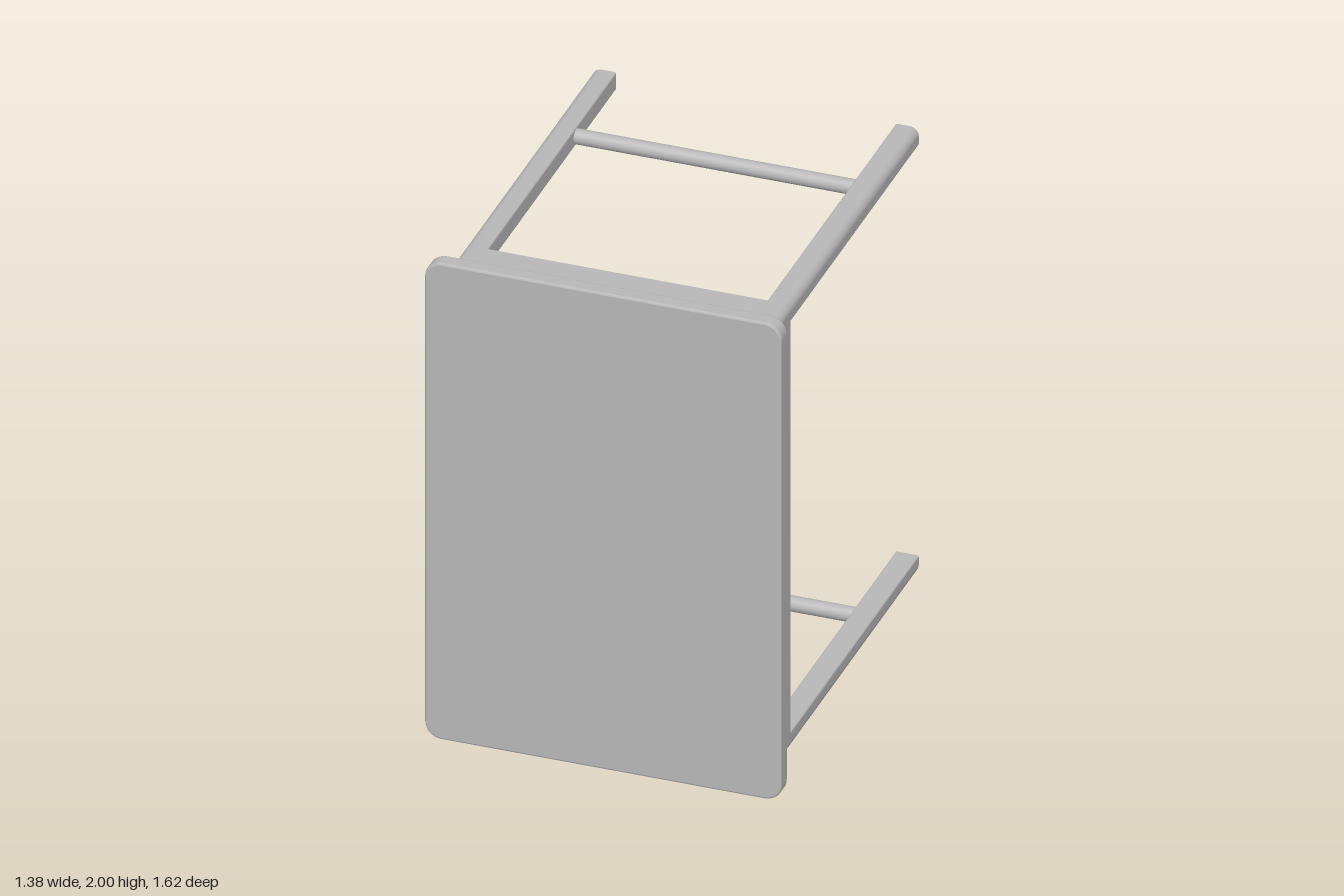
import * as THREE from 'three';

const grey = new THREE.MeshStandardMaterial({ color: 0xb8b8b8 });
grey.name = 'plain grey';

// Rectangle from (x0, y0) to (x1, y1); radii run lower left, lower right, upper right, upper left
function roundedRect(x0, y0, x1, y1, [ll, lr, ur, ul]) {
  const s = new THREE.Shape();
  s.moveTo(x0 + ll, y0);
  s.lineTo(x1 - lr, y0);
  if (lr) s.absarc(x1 - lr, y0 + lr, lr, -Math.PI / 2, 0);
  s.lineTo(x1, y1 - ur);
  if (ur) s.absarc(x1 - ur, y1 - ur, ur, 0, Math.PI / 2);
  s.lineTo(x0 + ul, y1);
  if (ul) s.absarc(x0 + ul, y1 - ul, ul, Math.PI / 2, Math.PI);
  s.lineTo(x0, y0 + ll);
  if (ll) s.absarc(x0 + ll, y0 + ll, ll, Math.PI, Math.PI * 1.5);
  return s;
}

function extrudeZ(name, shape, z0, z1, bevel = 0) {
  const geometry = new THREE.ExtrudeGeometry(shape, {
    depth: z1 - z0 - 2 * bevel,
    bevelEnabled: bevel > 0,
    bevelSize: bevel,
    bevelThickness: bevel,
    bevelOffset: -bevel,
    bevelSegments: 2,
    curveSegments: 6,
  });
  geometry.translate(0, 0, z0 + bevel);
  const mesh = new THREE.Mesh(geometry, grey);
  mesh.name = name;
  return mesh;
}

export function createModel() {
  const table = new THREE.Group();
  table.name = 'tableOnItsSide';

  // Table top, standing on its long edge
  const r = 0.065;
  table.add(extrudeZ('tableTop', roundedRect(-0.69, 0, 0.69, 2, [r, r, r, r]), 0.745, 0.81, 0.008));

  // Apron block beneath the top
  const a = 0.035;
  table.add(extrudeZ('apron', roundedRect(-0.63, 0.065, 0.63, 1.937, [a, a, a, a]), 0.55, 0.747));

  // Legs, rounded on the corner that faces outwards
  for (const upper of [false, true]) {
    const [y0, y1] = upper ? [1.862, 1.937] : [0.065, 0.14];
    for (const side of [-1, 1]) {
      const x0 = side < 0 ? -0.63 : 0.54;
      const outer = upper ? (side < 0 ? 3 : 2) : (side < 0 ? 0 : 1);
      const radii = [0.008, 0.008, 0.008, 0.008];
      radii[outer] = a;
      const leg = extrudeZ('leg', roundedRect(x0, y0, x0 + 0.09, y1, radii), -0.81, 0.56);
      table.add(leg);
    }

    // Round stretcher joining each pair of legs
    const stretcher = new THREE.Mesh(new THREE.CylinderGeometry(0.03, 0.03, 1.1, 16), grey);
    stretcher.name = 'stretcher';
    stretcher.rotation.z = Math.PI / 2;
    stretcher.position.set(0, (y0 + y1) / 2, -0.387);
    table.add(stretcher);
  }
  return table;
}
